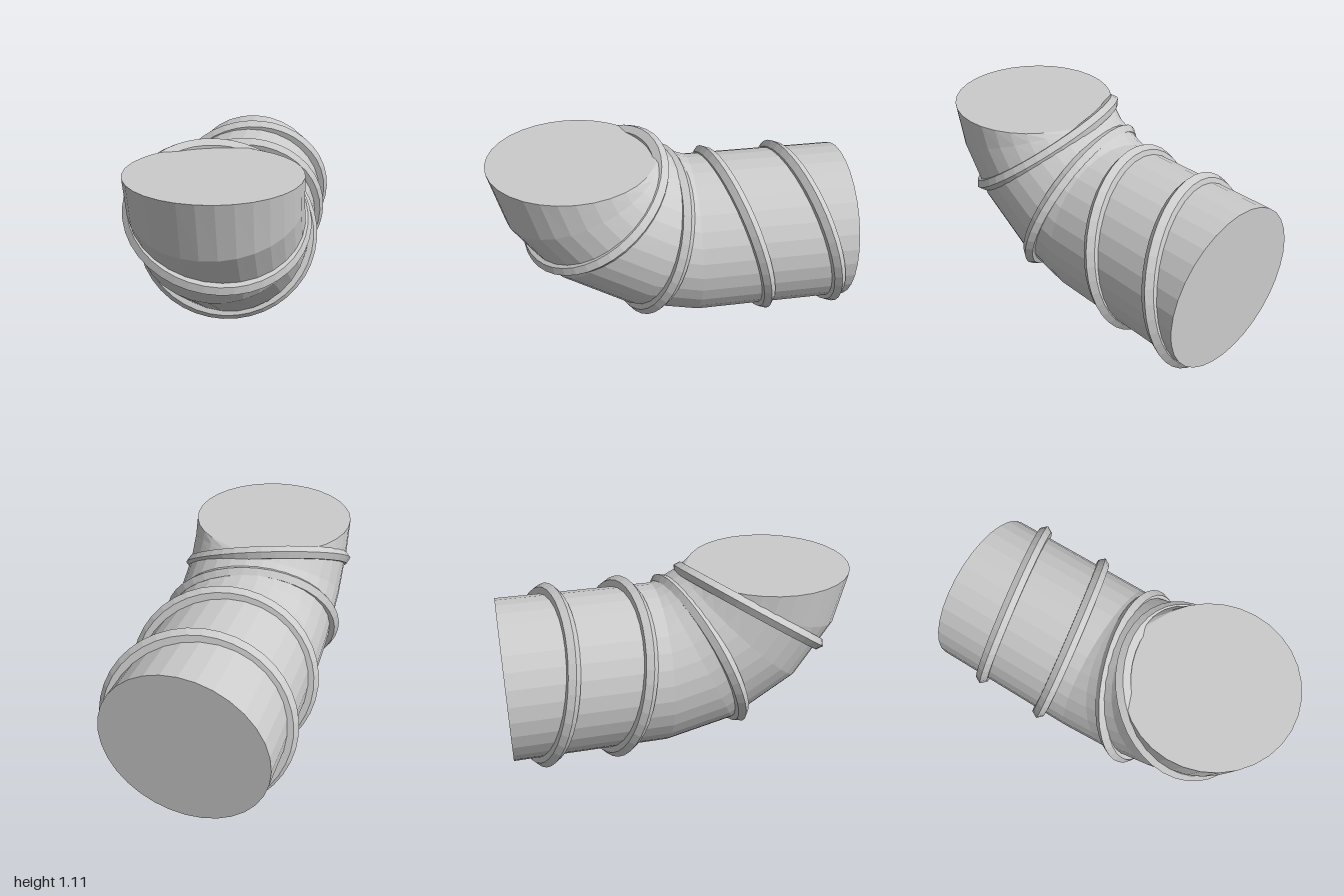
import * as THREE from 'three';

const SIDES = 32, RADIUS = 0.46;

// Sections along the pipe: centre y, centre z, heading in degrees (0 = forward, 90 = up)
const SECTIONS = [
  [0.515, -1, 0],
  [0.515, -0.12, 0],
  [0.572, 0.106, 25],
  [0.73, 0.363, 46],
  [0.91, 0.492, 70],
  [1.066, 0.54, 90],
];

// Closed bent pipe, swept through the sections
function pipeGeometry() {
  const pos = [], idx = [];
  for (const [y, z, deg] of SECTIONS) {
    const a = THREE.MathUtils.degToRad(deg);
    for (let j = 0; j < SIDES; j++) {
      const t = (j / SIDES) * Math.PI * 2;
      const up = RADIUS * Math.sin(t);
      pos.push(RADIUS * Math.cos(t), y + up * Math.cos(a), z - up * Math.sin(a));
    }
  }
  const last = (SECTIONS.length - 1) * SIDES;
  for (let j = 0; j < SIDES; j++) {
    const k = (j + 1) % SIDES;
    for (let r = 0; r < last; r += SIDES) {
      idx.push(r + j, r + k, r + SIDES + j, r + k, r + SIDES + k, r + SIDES + j);
    }
    // End caps
    if (j > 0 && k > 0) idx.push(0, k, j, last, last + j, last + k);
  }
  const g = new THREE.BufferGeometry();
  g.setAttribute('position', new THREE.Float32BufferAttribute(pos, 3));
  g.setIndex(idx);
  const flat = g.toNonIndexed();
  flat.computeVertexNormals();
  return flat;
}

// Ridge ring, skewed across the pipe; bottom and top are its outermost [y, z] points
function ringGeometry(bottom, top, width) {
  const hy = (top[0] - bottom[0]) / 2, hz = (top[1] - bottom[1]) / 2;
  const half = Math.hypot(hy, hz), skew = 0.2, outer = 0.51;
  const ny = -hz / half, nz = hy / half;
  const matrix = new THREE.Matrix4().makeBasis(
    new THREE.Vector3(width, -skew * ny, -skew * nz),
    new THREE.Vector3(0, hy / outer, hz / outer),
    new THREE.Vector3(skew, ny, nz).normalize().multiplyScalar(0.8),
  );
  matrix.setPosition(0, (top[0] + bottom[0]) / 2, (top[1] + bottom[1]) / 2);
  return new THREE.TorusGeometry(0.46, 0.05, 6, 40).applyMatrix4(matrix);
}

export function createModel() {
  const model = new THREE.Group();
  model.name = 'bentPipe';
  const material = new THREE.MeshStandardMaterial({ color: 0xcccccc, flatShading: true });

  const pipe = new THREE.Mesh(pipeGeometry(), material);
  pipe.name = 'pipe';
  model.add(pipe);

  // Ridge rings from the back end to the raised mouth
  const rings = [
    [[0.005, -0.91], [1.025, -0.66], 1],
    [[0.005, -0.5], [1.025, -0.25], 1],
    [[0.105, 0.3], [1.03, -0.05], 0.99],
    [[0.54, 0.84], [1.085, 0.02], 0.96],
  ];
  rings.forEach(([bottom, top, width], i) => {
    const ring = new THREE.Mesh(ringGeometry(bottom, top, width), material);
    ring.name = `ridgeRing${i + 1}`;
    model.add(ring);
  });
  return model;
}
